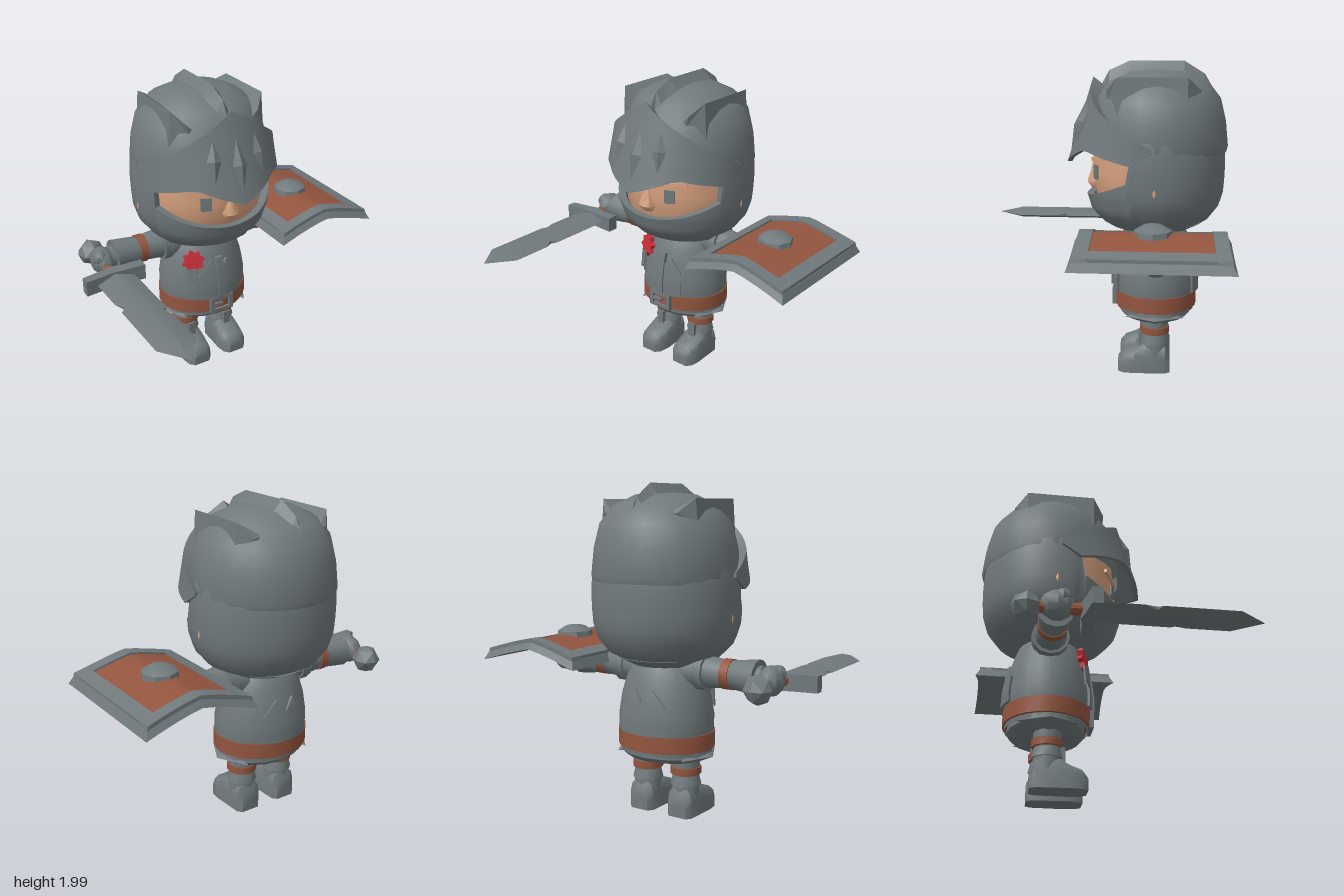
import * as THREE from 'three';
import { toCreasedNormals } from 'three/addons/utils/BufferGeometryUtils.js';

const CX = -0.08, CZ = -0.36; // body axis
const mat = (name, color) => new THREE.MeshStandardMaterial({ name, color, side: THREE.DoubleSide });

// Solid skinned over closed cross-sections, with fan caps
function loft(rings) {
  const n = rings[0].length, m = rings.length, pos = [], idx = [];
  rings.forEach(r => r.forEach(p => pos.push(...p)));
  for (let i = 0; i < m - 1; i++) for (let j = 0; j < n; j++) {
    const a = i * n + j, b = i * n + (j + 1) % n;
    idx.push(a, b, a + n, b, b + n, a + n);
  }
  [0, m - 1].forEach(k => {
    const c = pos.length / 3;
    pos.push(...[0, 1, 2].map(d => rings[k].reduce((s, p) => s + p[d], 0) / n));
    for (let j = 0; j < n; j++) {
      const a = k * n + j, b = k * n + (j + 1) % n;
      k ? idx.push(a, b, c) : idx.push(b, a, c);
    }
  });
  const g = new THREE.BufferGeometry();
  g.setAttribute('position', new THREE.Float32BufferAttribute(pos, 3));
  g.setIndex(idx);
  return g;
}

// Curved plate around the body axis; angle 0 is the front
function plate(a0, a1, lo, hi, rad, thick, drop = 0, steps = 20, rows = 6) {
  const rings = [];
  for (let i = 0; i <= steps; i++) {
    const a = a0 + (a1 - a0) * i / steps, outer = [], inner = [];
    for (let k = 0; k <= rows; k++) {
      const t = k / rows, y = lo(a) + (hi(a) - lo(a)) * t, r = rad(y, a), q = r - thick - drop * t;
      outer.push([CX + Math.sin(a) * r, y, CZ + Math.cos(a) * r]);
      inner.unshift([CX + Math.sin(a) * q, y - drop * t, CZ + Math.cos(a) * q]);
    }
    rings.push([...outer, ...inner]);
  }
  return loft(rings);
}

// Linear lookup in [value, key] pairs sorted by key
function lookup(pairs, key) {
  for (let i = 1; i < pairs.length; i++) {
    const [v0, k0] = pairs[i - 1], [v1, k1] = pairs[i];
    if (key <= k1) return v0 + (v1 - v0) * Math.max(0, (key - k0) / (k1 - k0));
  }
  return pairs[pairs.length - 1][0];
}
const lathe = (pts, n = 24) => new THREE.LatheGeometry(pts.map(p => new THREE.Vector2(...p)), n);
const shape = pts => new THREE.Shape(pts.map(p => new THREE.Vector2(...p)));
const extrude = (s, depth) => new THREE.ExtrudeGeometry(s, { depth, bevelEnabled: false });
const box = (x, y, z, sx = 1) => new THREE.BoxGeometry(x, y, z, sx);

export function createModel() {
  const model = new THREE.Group();
  const steel = mat('steel', 0x70797c), leather = mat('leather', 0x93553f);
  const skin = mat('skin', 0xd8a27f), red = mat('red ribbon', 0xc8303a);
  const add = (name, geo, m, x = 0, y = 0, z = 0, crease = 0.6) => {
    const o = new THREE.Mesh(toCreasedNormals(geo, crease), m);
    o.name = name;
    o.position.set(x, y, z);
    model.add(o);
    return o;
  };

  // Torso, skirt and belt
  const body = [[0.285, 0.4], [0.3, 0.53], [0.3, 0.62], [0.28, 0.74], [0.25, 0.84], [0.21, 0.93], [0.12, 1.02]];
  add('torso', lathe(body), steel, CX, 0, CZ).scale.z = 0.88;
  add('skirt', lathe([[0, 0.34], [0.2, 0.345], [0.26, 0.355], [0.295, 0.385], [0.29, 0.44]], 16), steel, CX, 0, CZ).scale.z = 0.8;
  add('belt', new THREE.CylinderGeometry(0.308, 0.308, 0.1, 24), leather, CX, 0.475, CZ).scale.z = 0.86;
  const chest = (y, a) => lookup(body, y) / Math.hypot(Math.sin(a), Math.cos(a) / 0.88) + 0.015;
  const panelTop = c => a => 0.8 - 0.3 * Math.abs(Math.abs(a - c) - 0.25);
  add('chestPanel', plate(-0.55, 0.55, () => 0.53, panelTop(0), chest, 0.03), steel);
  add('backPanel', plate(Math.PI - 0.6, Math.PI + 0.6, () => 0.53, panelTop(Math.PI), chest, 0.03), steel);
  add('chestRidge', plate(-0.1, 0.1, () => 0.54, () => 0.82, (y, a) => chest(y, a) + 0.012, 0.03, 0, 4), steel);

  // Buckle
  const frame = shape([[-0.085, -0.055], [0.085, -0.055], [0.085, 0.055], [-0.085, 0.055]]);
  frame.holes.push(new THREE.Path([[-0.058, -0.033], [-0.058, 0.033], [0.058, 0.033], [0.058, -0.033]].map(p => new THREE.Vector2(...p))));
  add('buckle', extrude(frame, 0.035), steel, CX, 0.475, -0.115);
  add('bucklePin', box(0.07, 0.02, 0.02), steel, CX - 0.025, 0.475, -0.09);

  // Rosette with a forked tail
  const star = [];
  for (let i = 0; i < 16; i++) {
    const a = i * Math.PI / 8 + 0.15, r = i % 2 ? 0.055 : 0.078;
    star.push([Math.cos(a) * r, Math.sin(a) * r]);
  }
  const rosette = add('rosette', extrude(shape(star), 0.03), red, -0.242, 0.813, -0.175);
  rosette.rotation.set(-0.2, -0.4, 0);
  const tail = add('rosetteTail', extrude(shape([[-0.032, 0], [0.032, 0], [0.032, -0.13], [0, -0.1], [-0.032, -0.13]]), 0.012), steel, -0.265, 0.77, -0.15);
  tail.rotation.set(-0.1, -0.55, 0);

  // Arms and legs, mirrored about the body axis
  const armParts = [
    ['shoulder', steel, 0.16, 0.3, 0.11, 0.1], ['sleeve', steel, 0.28, 0.43, 0.1, 0.085],
    ['sleeveRim', steel, 0.25, 0.31, 0.115, 0.115], ['armBand', leather, 0.42, 0.475, 0.092, 0.092],
    ['gauntlet', steel, 0.47, 0.64, 0.085, 0.105], ['wrist', steel, 0.62, 0.67, 0.07, 0.07]];
  for (const s of [-1, 1]) {
    for (const [name, m, x0, x1, r0, r1] of armParts) {
      const arm = add(name, new THREE.CylinderGeometry(r1, r0, x1 - x0, 12), m, CX + s * (x0 + x1) / 2, 0.9, -0.37);
      arm.rotation.z = -s * Math.PI / 2;
    }
    add('hand', new THREE.SphereGeometry(0.09, 10, 7), steel, CX + s * 0.715, 0.89, -0.37).scale.set(0.85, 1, 1.1);

    const x = CX + s * 0.14;
    add('thigh', new THREE.CylinderGeometry(0.085, 0.085, 0.12, 12), steel, x, 0.33, CZ);
    add('legBand', new THREE.CylinderGeometry(0.094, 0.094, 0.045, 12), leather, x, 0.28, CZ);
    add('bootShaft', new THREE.CylinderGeometry(0.08, 0.088, 0.18, 12), steel, x, 0.165, CZ);
    add('bootCuff', new THREE.CylinderGeometry(0.08, 0.094, 0.06, 12), steel, x, 0.22, CZ);
    add('shinPlate', box(0.05, 0.12, 0.04), steel, x, 0.2, -0.275);
    const foot = [[-0.46, 0.06, 0.12], [-0.43, 0.085, 0.18], [-0.3, 0.09, 0.19], [-0.23, 0.094, 0.15], [-0.16, 0.085, 0.125], [-0.125, 0.055, 0.085]];
    add('boot', loft(foot.map(([z, w, h]) => [
      [-w, 0, z], [-w, h * 0.55, z], [-w * 0.85, h * 0.85, z], [-w * 0.45, h, z],
      [w * 0.45, h, z], [w * 0.85, h * 0.85, z], [w, h * 0.55, z], [w, 0, z]])), steel, x, 0, 0, 0.75);
    add('hipGuard', new THREE.OctahedronGeometry(1).scale(0.1, 0.045, 0.19), steel, CX + s * 0.23, 0.385, CZ, 0.2);
  }
  add('fingers', new THREE.SphereGeometry(0.075, 9, 6), steel, 0.7, 0.88, -0.37);
  add('thumb', new THREE.SphereGeometry(0.05, 8, 6), steel, -0.82, 0.93, -0.34);

  // Face
  add('head', lathe([[0, 1], [0.33, 1.04], [0.39, 1.15], [0.41, 1.3], [0.4, 1.5], [0, 1.6]]), skin, CX, 0, CZ);
  const nose = [[1.39, 0.025, 0.06], [1.3, 0.04, 0.075], [1.22, 0.072, 0.1], [1.18, 0.05, 0.07]];
  add('nose', loft(nose.map(([y, w, z]) => [[-w, y, 0], [-w * 0.6, y, z * 0.85], [0, y, z], [w * 0.6, y, z * 0.85], [w, y, 0]])), skin, CX, 0, -0.01, 0.9);
  for (const s of [-1, 1]) {
    const eye = add('eye', extrude(shape([[-0.035, -0.035], [-0.02, -0.045], [0.035, -0.04], [0.035, 0.045], [-0.035, 0.045]]), 0.009), steel,
      CX + Math.sin(s * 0.41) * 0.41, 1.305, CZ + Math.cos(0.41) * 0.41);
    eye.rotation.y = s * 0.41;
    const brow = add('brow', box(0.18, 0.025, 0.02), skin, CX + Math.sin(s * 0.47) * 0.41, 1.39, CZ + Math.cos(0.47) * 0.41);
    brow.rotation.set(0, s * 0.47, s * 0.12);
    add('earSlot', new THREE.OctahedronGeometry(1).scale(0.006, 0.03, 0.012), skin, CX + s * 0.452, 1.22, -0.35);
  }

  // Helmet: dome above, one guard wrapping neck and jaw below
  const dome = [[0.438, 1.43], [0.445, 1.46], [0.428, 1.62], [0.393, 1.76], [0.315, 1.86], [0.18, 1.925], [0, 1.94]];
  add('helmetDome', lathe(dome), steel, CX, 0, CZ, 0.9);
  const guard = [[0.2, 0.92], [0.32, 0.965], [0.41, 1.06], [0.444, 1.17], [0.453, 1.3], [0.448, 1.46], [0.42, 1.58]];
  const guardR = (y, a) => lookup(guard, y) - 0.022 * Math.max(0, -Math.cos(a)) ** 2 + 0.01 * Math.max(0, Math.cos(a));
  const guardTop = a => Math.abs(a) < 1.22 ? 1.15 + 0.2 * (1 - Math.cos(a)) : 1.58;
  add('neckAndJawGuard', plate(-Math.PI, Math.PI, () => 0.92, guardTop, guardR, 0.045, 0, 60, 8), steel, 0, 0, 0, 0.9);
  add('helmetBase', new THREE.CylinderGeometry(0.3, 0.2, 0.05, 24), steel, CX, 0.95, CZ);

  // Visor: peaked plate tapering to the temples
  const visorR = (y, a) => {
    const k = Math.pow(Math.max(0, Math.cos(a)), 1.5);
    return (0.41 + (1.89 - y) * 0.31) * k + 0.462 * (1 - k);
  };
  const visorLow = a => {
    const t = Math.abs(a);
    return t < 0.55 ? 1.35 + 0.11 * t / 0.55 : 1.46 - 0.08 * Math.min(1, (t - 0.55) / 0.7) + Math.max(0, t - 1.25) * 0.3;
  };
  add('visor', plate(-1.5, 1.5, visorLow, a => 1.89 - 0.27 * Math.abs(a), visorR, 0.03, 0.1, 24), steel);
  for (const [a, y, h, w] of [[0, 1.58, 0.16, 0.048], [-0.32, 1.62, 0.13, 0.045], [0.32, 1.62, 0.13, 0.045]]) {
    const r = visorR(y, a), slit = new THREE.OctahedronGeometry(1).scale(w, h, 0.03);
    const o = add('visorSlit', slit, steel, CX + Math.sin(a) * r, y, CZ + Math.cos(a) * r, 0.05);
    o.rotation.set(-0.3, a, 0, 'YXZ');
  }

  // Crests: one central ridge and two side ridges rooted in the dome
  const ridge = [[0.0, 1.84, 0.02], [-0.05, 1.93, 0.05], [-0.18, 1.99, 0.075], [-0.52, 1.99, 0.075], [-0.65, 1.91, 0.06], [-0.75, 1.74, 0.01]];
  add('centreCrest', loft(ridge.map(([z, y, w]) => [[CX - w, y - 0.09, z], [CX, y, z], [CX + w, y - 0.09, z]])), steel, 0, 0, 0, 0.3);
  const domeByRadius = dome.slice(1).reverse().map(([r, y]) => [y, r]);
  for (const s of [-1, 1]) {
    const root = (dx, z) => [CX + s * dx, lookup(domeByRadius, Math.hypot(dx, z - CZ)) - 0.02, z];
    const fin = [[-0.05, 0.25, 1.82, 0.01], [-0.12, 0.32, 1.9, 0.045], [-0.54, 0.32, 1.9, 0.045], [-0.62, 0.25, 1.82, 0.01]];
    add('sideCrest', loft(fin.map(([z, dx, y, w]) => [
      root(dx - 0.04 - w, z), [CX + s * dx, y, z], root(dx - 0.03 + w, z)])), steel, 0, 0, 0, 0.3);
  }

  // Sword, held flat and pointing forward
  const SX = -0.8, SY = 0.86;
  const blade = [[-0.16, 0.125, 0.125], [0.1, 0.125, 0.125], [0.17, 0.09, 0.125], [0.2, 0.125, 0.125], [0.29, 0.125, 0.125],
    [0.31, 0.125, 0.09], [0.38, 0.125, 0.125], [0.64, 0.125, 0.125], [0.81, 0, 0]];
  add('blade', loft(blade.map(([z, l, r]) => {
    const h = l ? 0.038 : 0, el = h * (1 - l / 0.126), er = h * (1 - r / 0.126);
    return [[-l, -el, z], [-l, el, z], [0, h, z], [r, er, z], [r, -er, z], [0, -h, z]];
  })), steel, SX, SY, 0);
  const hilt = shape([[-0.2, -0.2], [-0.06, -0.225], [0, -0.24], [0.06, -0.225], [0.2, -0.22], [0.2, -0.145], [0, -0.16], [-0.2, -0.14]]);
  add('crossguard', extrude(hilt, 0.1).rotateX(Math.PI / 2), steel, SX, SY + 0.05, 0);
  add('grip', new THREE.CylinderGeometry(0.035, 0.035, 0.28, 10).rotateX(Math.PI / 2), leather, SX, SY + 0.01, -0.35);
  add('pommel', new THREE.OctahedronGeometry(0.088, 1), steel, SX, SY + 0.01, -0.54, 0.1);

  // Shield, lying over the left forearm, folded along its length with bowed-in ends
  const HX = 0.64, HZ = -0.35;
  const bent = (name, m, w, t, d, x, y, z, taper = 0) => {
    const g = box(w, t, d, 10), p = g.attributes.position;
    for (let i = 0; i < p.count; i++) {
      const k = p.getY(i) > 0 ? 1 - taper : 1, px = p.getX(i) * k + x, pz = p.getZ(i) * k + z;
      const u = Math.abs(px) / 0.36;
      p.setXYZ(i, px, p.getY(i) + y - 0.092 * Math.pow(u, 1.2), pz * (0.965 + 0.035 * u * u));
    }
    add(name, g, m, HX, 0, HZ);
  };
  bent('shieldBack', steel, 0.72, 0.045, 0.92, 0, 1.0205, 0, 0.06);
  bent('shieldPanel', leather, 0.5, 0.008, 0.71, 0, 1.046, 0);
  for (const s of [-1, 1]) {
    bent('shieldRim', steel, 0.68, 0.024, 0.085, 0, 1.05, s * 0.393, 0.02);
    bent('shieldRim', steel, 0.085, 0.024, 0.72, s * 0.293, 1.05, 0, 0.02);
  }
  add('shieldBoss', lathe([[0.115, 1.03], [0.11, 1.065], [0.06, 1.095], [0, 1.1]], 8), steel, HX, 0, HZ);

  return model;
}
